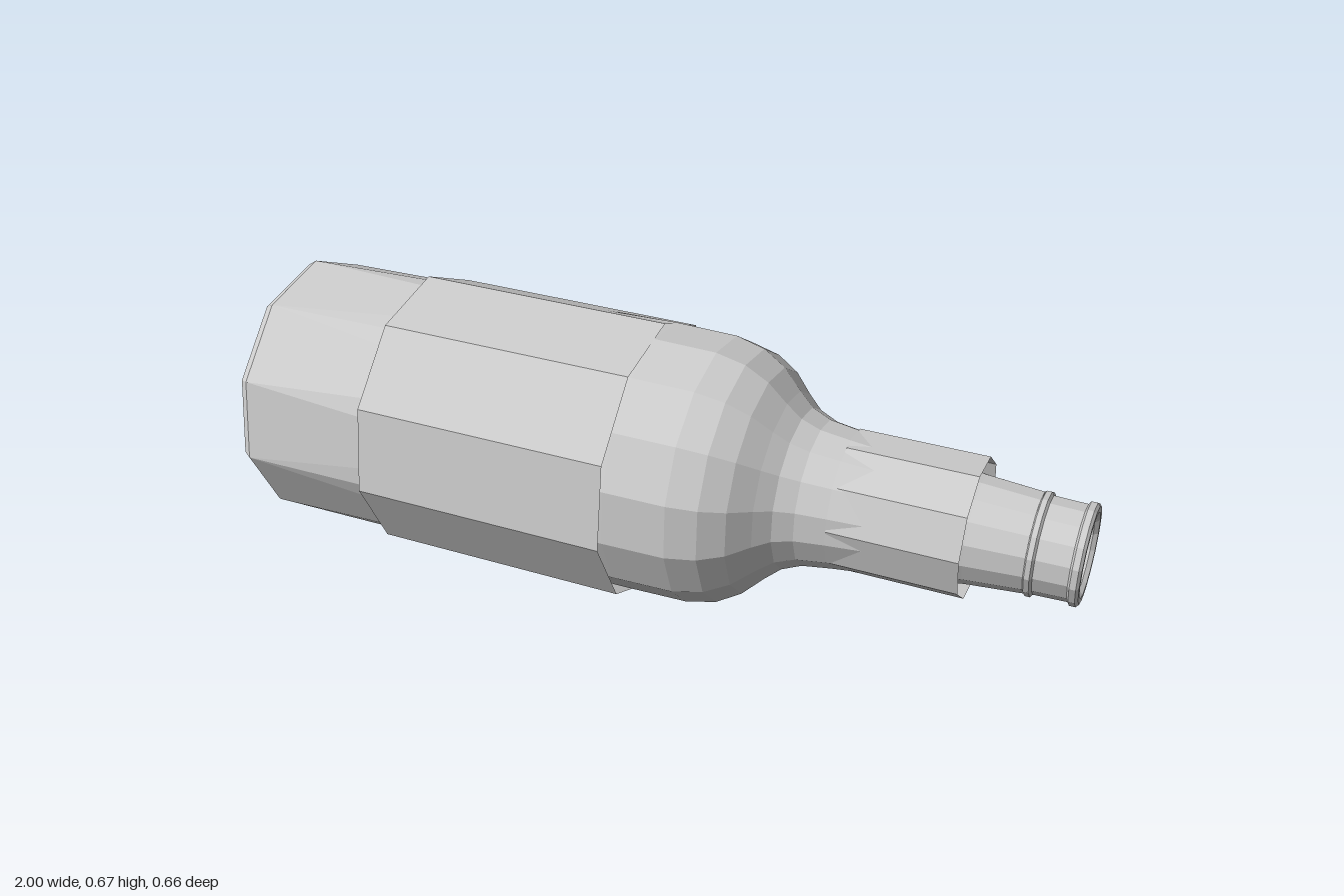
import * as THREE from 'three';

const DEG = Math.PI / 180;

// A ring of points around the bottle's axis (x); angles run from +y toward +z.
function ring(x, radius, sides, phase, cy, cz) {
  const points = [];
  const angles = [];
  for (let i = 0; i <= sides; i++) {
    const a = phase * DEG + (i / sides) * Math.PI * 2;
    angles.push(a);
    points.push([x, cy + radius * Math.cos(a), cz + radius * Math.sin(a)]);
  }
  return { points, angles };
}

// Joins consecutive rings with faceted triangles, even when side counts differ.
function skin(rings) {
  const pos = [];
  const tri = (a, b, c) => pos.push(...a, ...b, ...c);
  for (let r = 0; r + 1 < rings.length; r++) {
    const A = rings[r], B = rings[r + 1];
    const na = A.points.length - 1, nb = B.points.length - 1;
    let i = 0, j = 0;
    while (i < na || j < nb) {
      const nextA = i < na ? A.angles[i] + A.angles[i + 1] : Infinity;
      const nextB = j < nb ? B.angles[j] + B.angles[j + 1] : Infinity;
      if (nextA <= nextB) {
        tri(A.points[i], A.points[i + 1], B.points[j]);
        i++;
      } else {
        tri(A.points[i], B.points[j + 1], B.points[j]);
        j++;
      }
    }
  }
  const geo = new THREE.BufferGeometry();
  geo.setAttribute('position', new THREE.Float32BufferAttribute(pos, 3));
  geo.computeVertexNormals();
  return geo;
}

export function createModel() {
  const group = new THREE.Group();
  group.name = 'bottle';
  const grey = new THREE.MeshStandardMaterial({
    name: 'grey', color: 0xcccccc, flatShading: true, side: THREE.DoubleSide,
  });
  const add = (name, rings) => {
    const mesh = new THREE.Mesh(skin(rings), grey);
    mesh.name = name;
    group.add(mesh);
  };

  // Ten-sided base with a recessed underside: [x, radius]
  const base = [[-0.94, 0], [-0.94, 0.21], [-0.985, 0.265], [-1, 0.285], [-0.992, 0.305], [-0.97, 0.32]]
    .map(([x, r]) => ring(x, r, 10, -8.6, 0.325, -0.012));

  // Fifteen-sided shoulder and neck
  const upper = [
    [-0.02, 0.321], [0.13, 0.318], [0.2, 0.301], [0.255, 0.268], [0.3, 0.222],
    [0.335, 0.191], [0.38, 0.172], [0.45, 0.162], [0.54, 0.152], [0.75, 0.125], [0.88, 0.115],
  ].map(([x, r]) => ring(x, r, 15, 2.9, 0.335, -0.006));
  add('body', [...base, ...upper]);

  // Mouth with a collar, a lip and the inner wall
  add('mouth', [
    [0.88, 0.115], [0.883, 0.119], [0.895, 0.119], [0.9, 0.112], [0.975, 0.11],
    [0.98, 0.117], [0.994, 0.117], [1, 0.11], [1, 0.097], [0.99, 0.089], [0.75, 0.087],
  ].map(([x, r]) => ring(x, r, 15, 2.9, 0.334, -0.006)));

  // Ten-sided paper wraps, open at both ends
  add('bodyLabel', [-0.64, -0.02].map((x) => ring(x, 0.3365, 10, -8.6, 0.333, 0)));
  add('neckLabel', [0.45, 0.75].map((x) => ring(x, 0.164, 10, 14, 0.334, -0.01)));

  return group;
}
